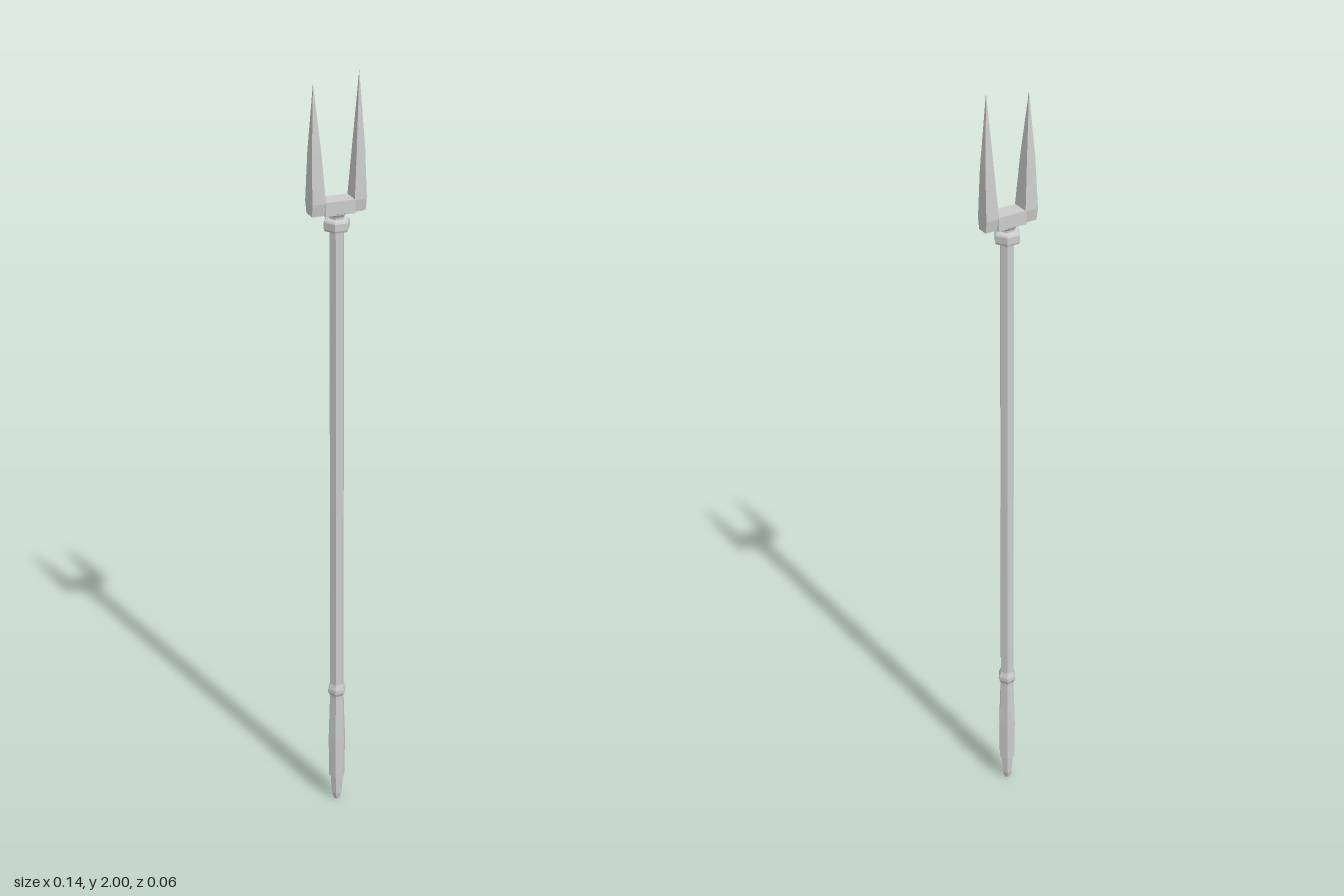
import * as THREE from 'three';
import { ConvexGeometry } from 'three/addons/geometries/ConvexGeometry.js';

const material = new THREE.MeshStandardMaterial({ color: 0xcccccc, flatShading: true });

// six-sided turned part from [radius, height] pairs, corners on the x axis
function turned(name, profile) {
  const points = profile.map(([r, y]) => new THREE.Vector2(r, y));
  const geometry = new THREE.LatheGeometry(points, 6, Math.PI / 2);
  const mesh = new THREE.Mesh(geometry, material);
  mesh.name = name;
  return mesh;
}

// faceted prong: rectangular sections narrowing to a point; side is +1 or -1
function prong(name, side, tipX, tipY) {
  const sections = [ // y, inner x, outer x, half depth
    [1.67, 0.036, 0.069, 0.018],
    [1.70, 0.036, 0.07, 0.0225],
    [1.82, 0.044, 0.067, 0.0145],
  ];
  const points = [new THREE.Vector3(side * tipX, tipY, 0)];
  for (const [y, inner, outer, depth] of sections) {
    for (const z of [-depth, depth]) {
      points.push(new THREE.Vector3(side * inner, y, z));
      // the left prong's outer front corner is worn back
      if (side > 0 && z > 0) {
        points.push(new THREE.Vector3(outer - 0.012, y, z), new THREE.Vector3(outer, y, z * 0.6));
      } else {
        points.push(new THREE.Vector3(side * outer, y, z));
      }
    }
  }
  const mesh = new THREE.Mesh(new ConvexGeometry(points), material);
  mesh.name = name;
  return mesh;
}

export function createModel() {
  const model = new THREE.Group();
  model.name = 'fork';

  // pole and its fittings
  model.add(
    turned('buttCap', [[0, 0], [0.008, 0], [0.014, 0.02], [0.018, 0.08], [0, 0.08]]),
    turned('grip', [[0, 0.075], [0.0225, 0.078], [0.0235, 0.2], [0.0195, 0.325], [0, 0.325]]),
    turned('gripRing', [[0.019, 0.32], [0.0195, 0.335], [0.0245, 0.345], [0.0245, 0.355], [0.019, 0.37]]),
    turned('shaft', [[0.0185, 0.32], [0.019, 0.45], [0.0185, 1.63]]),
    turned('collar', [[0.018, 1.622], [0.031, 1.626], [0.033, 1.631], [0.033, 1.648], [0.03, 1.652],
      [0.019, 1.655], [0.019, 1.66], [0.027, 1.671], [0, 1.671]]),
  );

  // fork head
  const crossbar = new THREE.Mesh(new THREE.BoxGeometry(0.076, 0.034, 0.045), material);
  crossbar.name = 'crossbar';
  crossbar.position.y = 1.685;
  model.add(
    crossbar,
    prong('leftProng', 1, 0.055, 2.0),
    prong('rightProng', -1, 0.058, 1.98),
  );
  return model;
}
